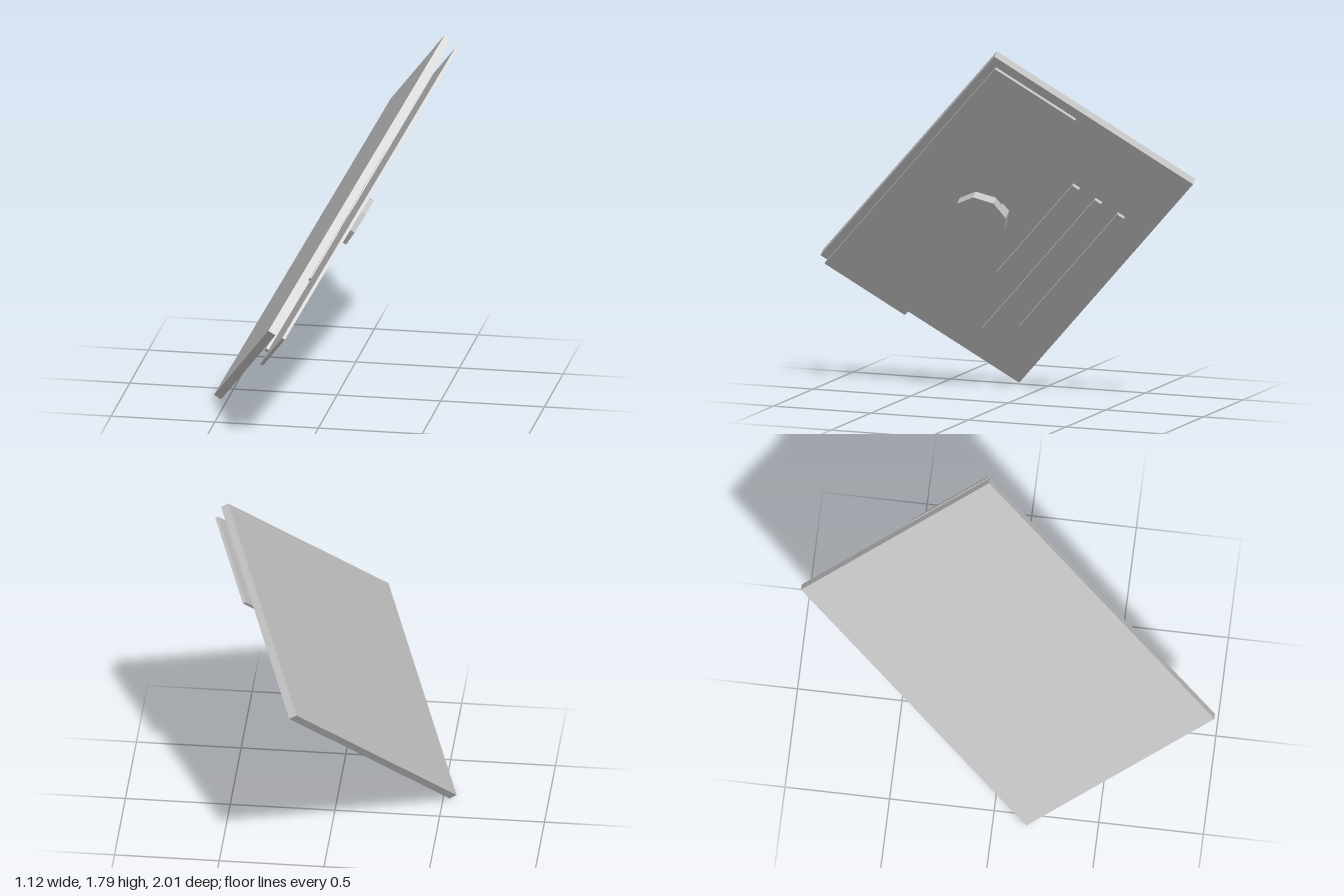
import * as THREE from 'three';

export function createModel() {
  const model = new THREE.Group();
  model.name = 'envelope';
  const paper = new THREE.MeshStandardMaterial({ color: 0xc0c0c0, flatShading: true });
  paper.name = 'paper grey';

  // Envelope frame: u runs along its length, v up to the flap fold, n out of the addressed face
  const u = new THREE.Vector3(0.369, 0.653, -0.6615).normalize();
  const v = new THREE.Vector3(0.37, 0.56, 0.741);
  v.addScaledVector(u, -v.dot(u)).normalize();
  const n = new THREE.Vector3().crossVectors(u, v);
  const letter = new THREE.Group();
  letter.name = 'tiltedLetter';
  letter.quaternion.setFromRotationMatrix(new THREE.Matrix4().makeBasis(u, v, n));
  letter.position.set(-0.53, 0, 0.16);
  model.add(letter);

  const add = (name, geometry, x, y, z) => {
    const mesh = new THREE.Mesh(geometry, paper);
    mesh.name = name;
    mesh.position.set(x, y, z);
    letter.add(mesh);
  };
  // Box given by its ranges along u, v and n
  const slab = (name, u0, u1, v0, v1, n0, n1) =>
    add(name, new THREE.BoxGeometry(u1 - u0, v1 - v0, n1 - n0),
      (u0 + u1) / 2, (v0 + v1) / 2, (n0 + n1) / 2);

  // Body and raised flap
  slab('body', 0, 1.745, 0, 1.134, -0.04, 0);
  slab('flap', 0.018, 1.728, 0.645, 1.103, 0.036, 0.051);

  // Raised lines of writing
  [[0.593, 0.43], [0.22, 0.303], [0.366, 0.174]].forEach(([start, row], i) =>
    slab('writingLine' + (i + 1), start, 1.358, row - 0.019, row + 0.019, 0.041, 0.058));

  // Eight-sided seal
  const seal = new THREE.CylinderGeometry(0.132, 0.132, 0.055, 8).rotateX(Math.PI / 2);
  add('seal', seal, 0.876, 0.688, 0.066);

  return model;
}
